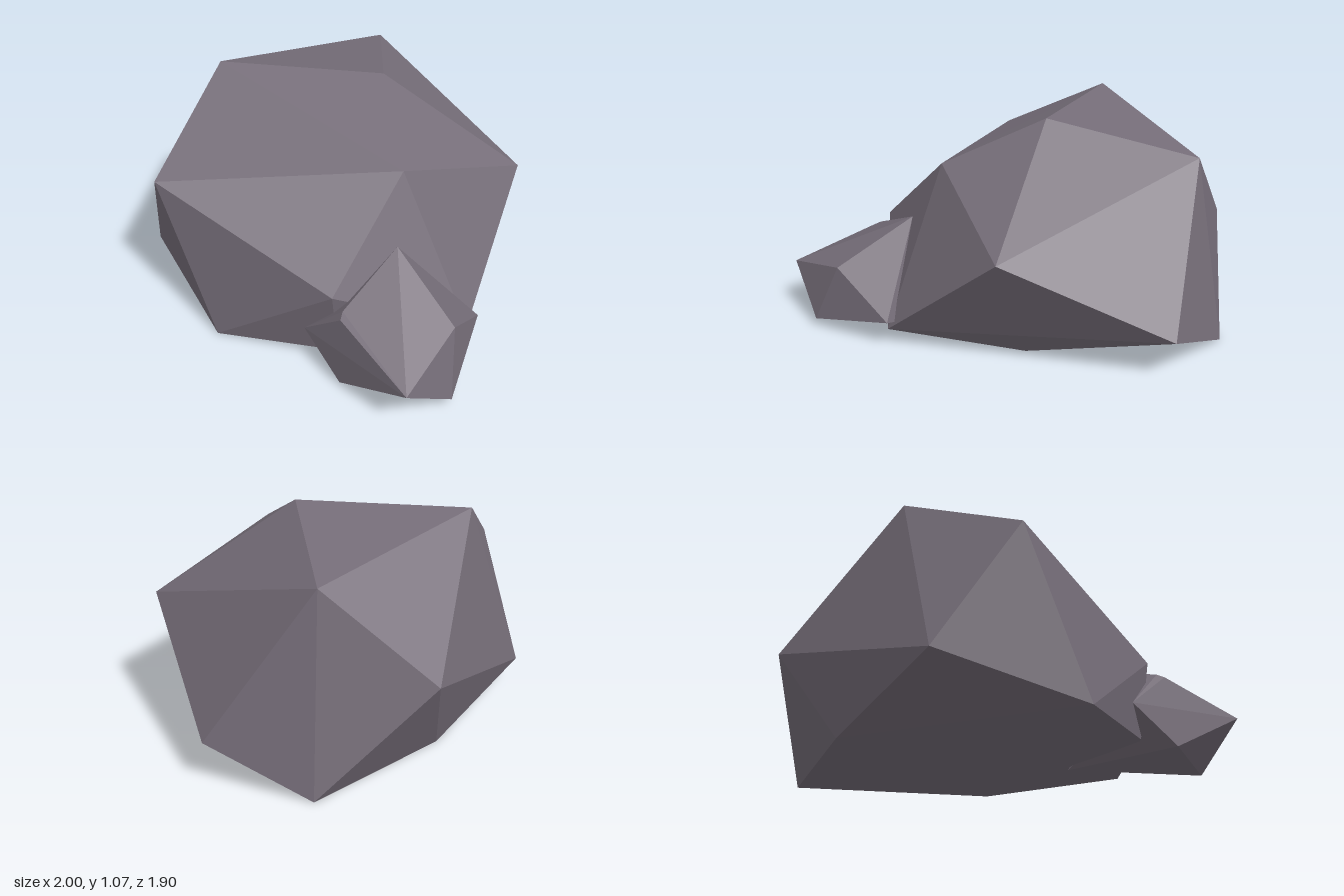
import * as THREE from 'three';
import { ConvexGeometry } from 'three/addons/geometries/ConvexGeometry.js';

// A faceted boulder: the convex hull of a few corner points
function boulder(name, corners, material) {
  const points = corners.map(([x, y, z]) => new THREE.Vector3(x, y, z));
  const mesh = new THREE.Mesh(new ConvexGeometry(points), material);
  mesh.name = name;
  return mesh;
}

export function createModel() {
  const group = new THREE.Group();
  group.name = 'rocks';
  const stone = new THREE.MeshStandardMaterial({ color: 0x756d78, flatShading: true });
  stone.name = 'purple grey stone';

  // Large rock
  group.add(boulder('largeRock', [
    // crown
    [-0.69, 1.05, 0.37], [-0.04, 1.07, -0.13], [0.39, 0.84, 0.13], [-0.59, 0.92, -0.6],
    // waist
    [-0.42, 0.73, 0.95], [0.48, 0.43, 0.63], [0.47, 0.6, -0.58], [-1, 0.48, -0.28],
    // lower ring
    [-0.24, 0.21, -0.95], [-0.76, 0.13, 0.8], [0.75, 0.08, 0.03], [0.45, 0.06, 0.58],
    // flat base
    [-0.07, 0, 0.91], [-0.69, 0, -0.73], [0.2, 0, -0.36], [-0.8, 0, 0.02],
  ], stone));

  // Small rock leaning against its front left side
  group.add(boulder('smallRock', [
    // crown
    [0.5, 0.54, 0.26], [0.9, 0.34, 0.28], [0.54, 0.39, 0.62], [0.56, 0.37, 0.65],
    // waist
    [1, 0.25, 0.66], [0.77, 0.14, -0.02], [0.33, 0.18, 0.68],
    // base
    [1, 0.04, 0.38], [0.58, 0.02, 0.68], [0.35, 0.02, 0.15], [0.74, 0.02, 0.45],
  ], stone));

  return group;
}
